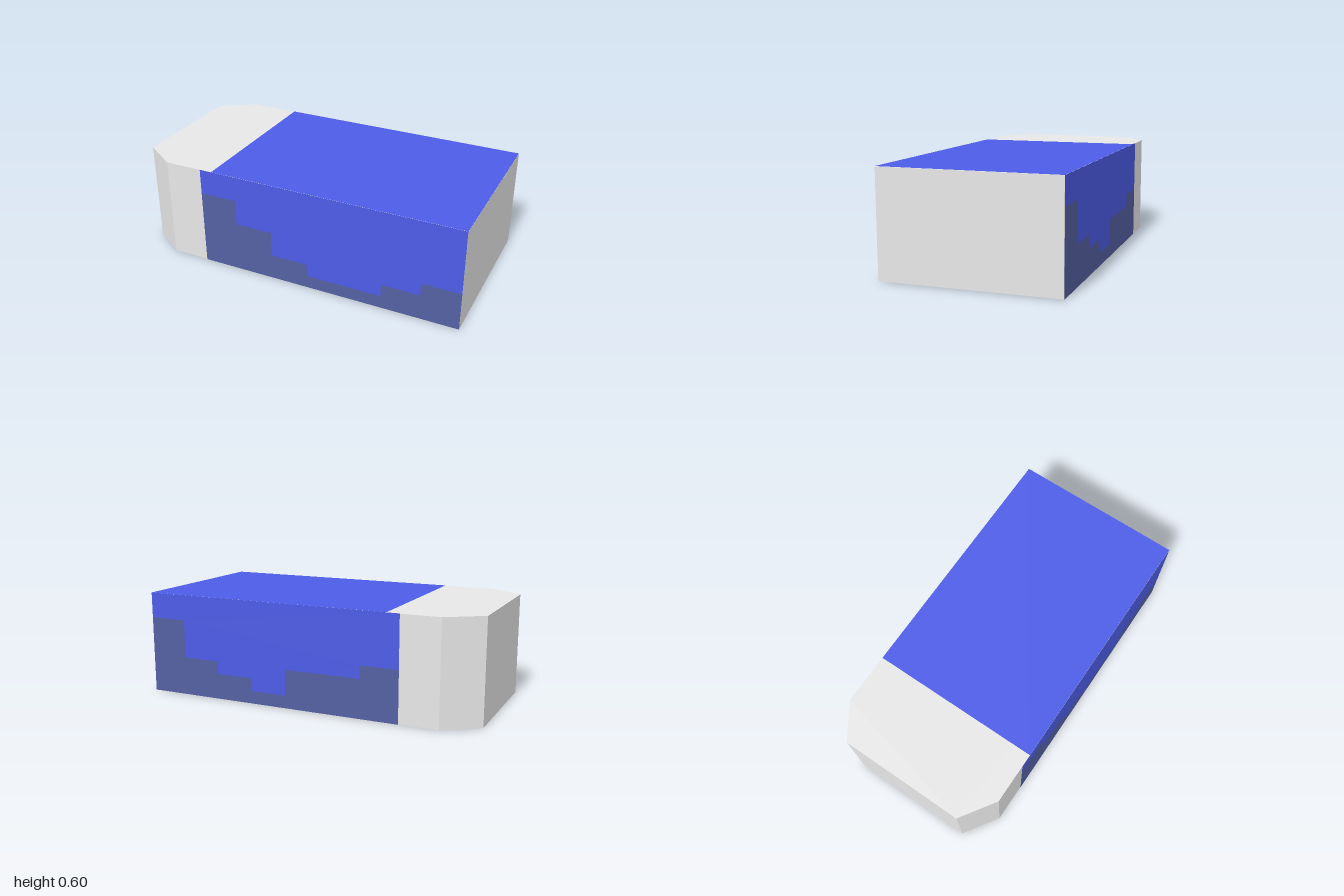
import * as THREE from 'three';

const W = 0.225, H = 0.6, GAP = 0.0015;

export function createModel() {
  const grey = new THREE.MeshStandardMaterial({ color: 0xf0f0f0 });
  const blue = new THREE.MeshStandardMaterial({ color: 0x5060f0 });
  const slate = new THREE.MeshStandardMaterial({ color: 0x5460a2 });
  grey.name = 'eraserWhite';
  blue.name = 'sleeveBlue';
  slate.name = 'sleeveSlate';

  const model = new THREE.Group();
  model.name = 'eraser';
  const add = (name, geometry, material, parent = model) => {
    const mesh = new THREE.Mesh(geometry, material);
    mesh.name = name;
    parent.add(mesh);
  };
  const outline = (points) => new THREE.Shape(points.map(([x, y]) => new THREE.Vector2(x, y)));

  // Block with two cut corners at one end
  const plan = outline([[-1, -0.366], [-0.8, -0.5], [1, -0.5], [1, 0.5], [-0.8, 0.5], [-1, 0.366]]);
  const block = new THREE.ExtrudeGeometry(plan, { depth: H - 2 * GAP, bevelEnabled: false });
  block.rotateX(-Math.PI / 2).translate(0, GAP, 0);
  add('eraserBlock', block, grey);

  // Top and bottom of the sleeve
  const sheet = (turn, y) => new THREE.PlaneGeometry(1.5, 1).rotateX(turn).translate(0.25, y, 0);
  add('sleeveTop', sheet(-Math.PI / 2, H), blue);
  add('sleeveBottom', sheet(Math.PI / 2, 0), slate);

  // Each side: slate steps below, blue above, sharing one stepped edge
  const addSide = (name, start, heights, turn) => {
    const end = start + W * heights.length;
    const steps = heights.flatMap((h, i) => [[start + i * W, h], [start + (i + 1) * W, h]]);
    const side = new THREE.Group();
    side.name = name;
    const lower = outline([...steps].reverse().concat([[start, 0], [end, 0]]));
    const upper = outline([...steps, [end, H], [start, H]]);
    add(name + 'Steps', new THREE.ShapeGeometry(lower), slate, side);
    add(name + 'Upper', new THREE.ShapeGeometry(upper), blue, side);
    side.children.forEach((m) => m.geometry.translate(0, 0, 0.5 + GAP));
    side.rotation.y = turn;
    model.add(side);
  };
  addSide('sleeveFront', -0.575, [0.45, 0.3, 0.15, 0.075, 0.075, 0.15, 0.225], 0);
  addSide('sleeveBack', -1, [0.45, 0.225, 0.15, 0.075, 0.225, 0.225, 0.3], Math.PI);

  return model;
}
